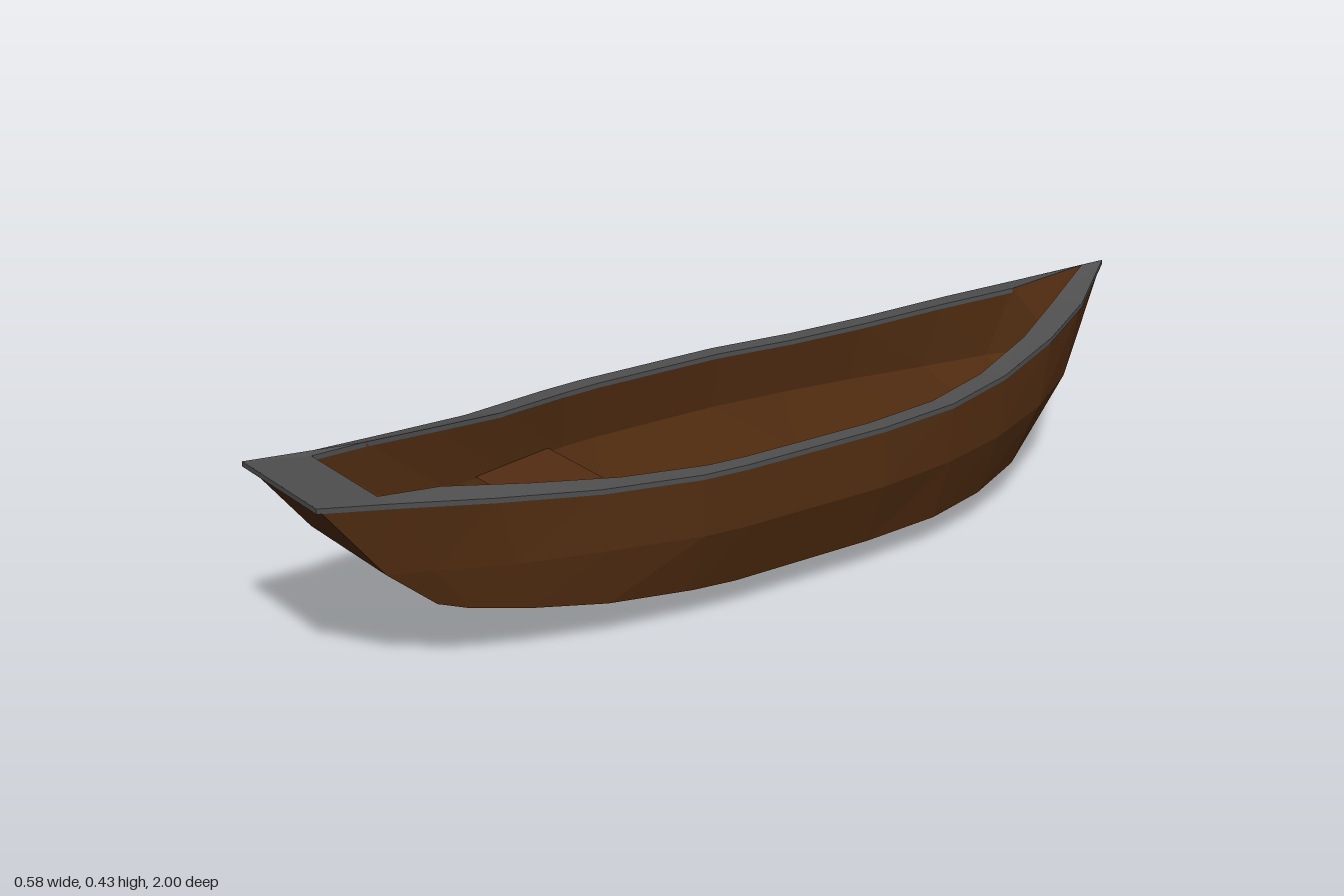
import * as THREE from 'three';

const wood = new THREE.MeshStandardMaterial({ color: 0x522d11, flatShading: true, side: THREE.DoubleSide });
const trim = new THREE.MeshStandardMaterial({ color: 0x4f4f4f, flatShading: true, side: THREE.DoubleSide });

// Stations from stern to bow:
// [z, half beam, gunwale y, knuckle y, chine half beam, chine y, keel y]
const stations = [
  [1, 0.14, 0.385, 0.225, 0.14, 0.14, 0.11],
  [0.86, 0.157, 0.366, 0.215, 0.162, 0.125, 0.1],
  [0.67, 0.20, 0.345, 0.205, 0.19, 0.105, 0.081],
  [0.47, 0.24, 0.326, 0.2, 0.218, 0.083, 0.058],
  [0.27, 0.28, 0.32, 0.195, 0.237, 0.069, 0.034],
  [0.17, 0.288, 0.32, 0.195, 0.242, 0.065, 0.025],
  [-0.16, 0.288, 0.32, 0.195, 0.242, 0.065, 0.003],
  [-0.35, 0.267, 0.32, 0.197, 0.227, 0.065, 0.018],
  [-0.52, 0.23, 0.333, 0.203, 0.19, 0.07, 0.042],
  [-0.70, 0.17, 0.36, 0.215, 0.138, 0.087, 0.071],
  [-0.85, 0.1, 0.388, 0.235, 0.08, 0.117, 0.11],
  [-1, 0, 0.43, 0.26, 0, 0.15, 0.15],
];

const mirror = ([x, y, z]) => [-x, y, z];
const withMirror = (half) => [...half, ...half.slice(0, -1).reverse().map(mirror)];

// Gunwale, knuckle, chine and keel; the rake grows towards both ends
const outerHalf = ([z, x, yG, yM, xC, yC, yK]) => {
  const rake = (amount) => z * (1 - amount * z * z);
  const [m, c, k] = z > 0 ? [0.13, 0.233, 0.27] : [0.07, 0.2, 0.2];
  return [[x, yG, z], [x, yM, rake(m)], [xC, yC, rake(c)], [0, yK, rake(k)]];
};

// Inner skin: inset by the rim width at the top, close to the planking below
const innerHalf = (s, i) => outerHalf(s).map(([x, y, z], j) => {
  const stern = z > 0;
  if (j === 0) {
    return [stern ? x * 0.87 : Math.max(0, x - 0.038), i === 0 ? y - 0.014 : y, z * (stern ? 0.87 : 0.94)];
  }
  const floor = j > 1;
  return [x * (floor ? 0.98 : 0.95), floor ? y + 0.015 : y, z * (stern ? 0.87 : floor ? 0.98 : 0.94)];
});

// Skin a list of cross-sections, leaving out collapsed triangles
function loft(rows, { closed = false, flip = false } = {}) {
  const pos = [];
  const tri = (...corners) => {
    const p = corners.map((c) => new THREE.Vector3(...c));
    if (new THREE.Triangle(...p).getArea() < 1e-7) return;
    if (flip) p.reverse();
    p.forEach((v) => pos.push(v.x, v.y, v.z));
  };
  const last = closed ? rows.length : rows.length - 1;
  for (let i = 0; i < last; i++) {
    const r = rows[i], n = rows[(i + 1) % rows.length];
    for (let j = 0; j < r.length - 1; j++) {
      tri(r[j], r[j + 1], n[j]);
      tri(r[j + 1], n[j + 1], n[j]);
    }
  }
  const geo = new THREE.BufferGeometry();
  geo.setAttribute('position', new THREE.Float32BufferAttribute(pos, 3));
  geo.computeVertexNormals();
  return geo;
}

export function createModel() {
  const boat = new THREE.Group();
  boat.name = 'rowingBoat';
  const add = (name, geometry, material) => {
    const mesh = new THREE.Mesh(geometry, material);
    mesh.name = name;
    boat.add(mesh);
  };

  const outer = stations.map(outerHalf);
  const inner = stations.map(innerHalf);

  // Hull skins and the raked transom
  const across = (half) => half.map((p) => [p, mirror(p)]);
  add('outerHull', loft(outer.map(withMirror)), wood);
  add('innerHull', loft(inner.map(withMirror), { flip: true }), wood);
  add('outerTransom', loft(across(outer[0])), wood);
  add('innerTransom', loft(across(inner[0]), { flip: true }), wood);

  // Gunwale rim: a thin band running right round the boat
  const drop = ([x, y, z]) => [x, y - 0.01, z];
  const side = outer.map(([[x, y, z]], i) => {
    const a = [x * 1.002, y, z * 1.001], b = inner[i][0];
    return [drop(a), a, b, drop(b)];
  });
  const otherSide = side.slice(0, -1).reverse().map((row) => row.map(mirror));
  add('gunwaleRim', loft([...side, ...otherSide], { closed: true, flip: true }), trim);

  // Tapered bench board let into the side walls
  const plan = new THREE.Shape();
  plan.moveTo(-0.215, -0.47);
  plan.lineTo(0.215, -0.47);
  plan.lineTo(0.258, -0.27);
  plan.lineTo(-0.258, -0.27);
  plan.closePath();
  add('bench', new THREE.ShapeGeometry(plan).rotateX(-Math.PI / 2).translate(0, 0.205, 0), wood);

  return boat;
}
